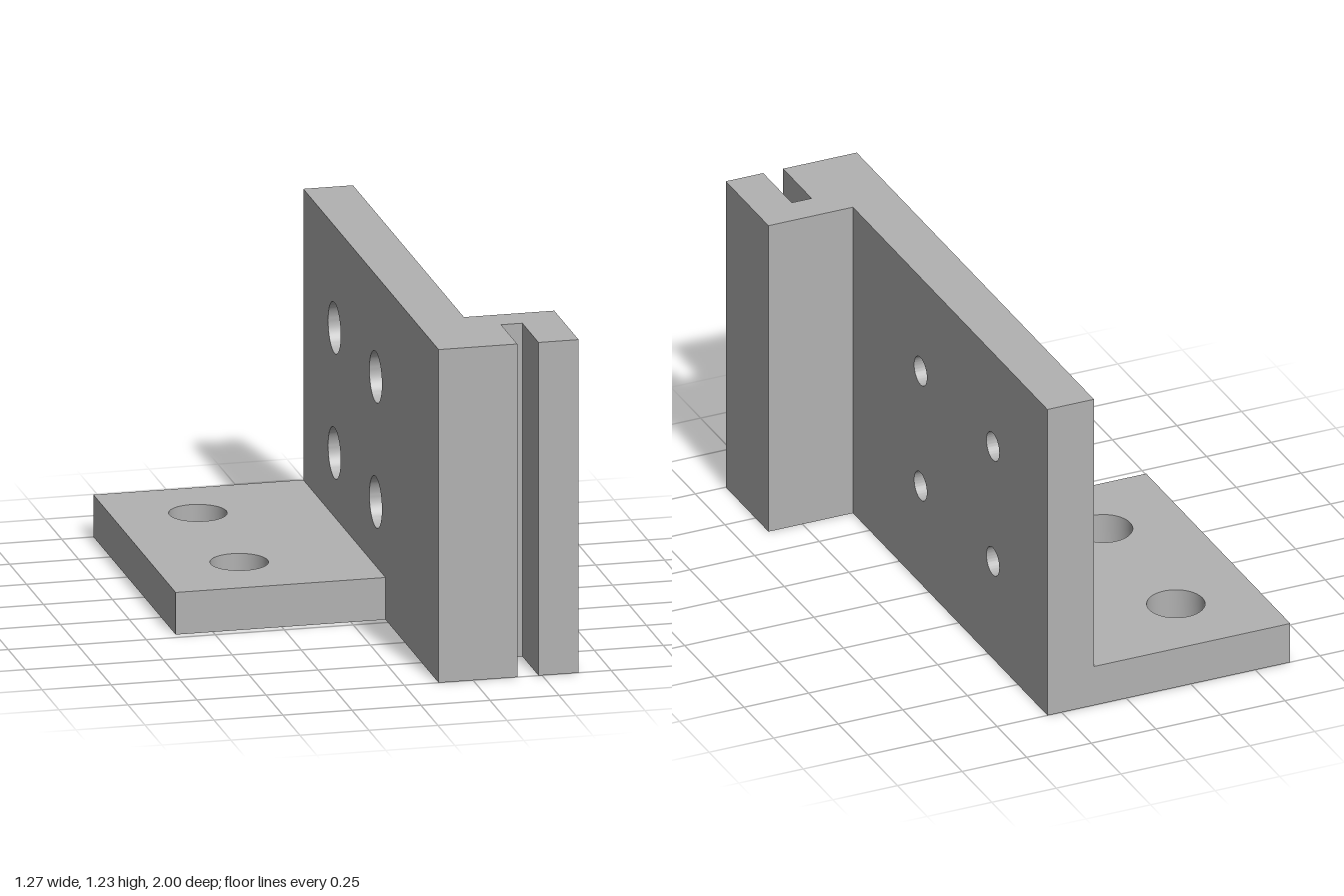
import * as THREE from 'three';
import { toCreasedNormals } from 'three/addons/utils/BufferGeometryUtils.js';

const HEIGHT = 1.225;
const grey = new THREE.MeshStandardMaterial({ color: 0xb2b2b2 });
grey.name = 'machined grey';

// Polygon outline with round holes [u, v, radius]
function outline(points, holes = []) {
  const shape = new THREE.Shape(points.map(([u, v]) => new THREE.Vector2(u, v)));
  for (const [u, v, r] of holes) {
    shape.holes.push(new THREE.Path().absarc(u, v, r, 0, Math.PI * 2, true));
  }
  return shape;
}

function extrude(shape, depth) {
  return new THREE.ExtrudeGeometry(shape, { depth, bevelEnabled: false, curveSegments: 32 });
}

function part(name, geometry) {
  const mesh = new THREE.Mesh(toCreasedNormals(geometry, 0.5), grey);
  mesh.name = name;
  return mesh;
}

// Plan shape (x, -z) raised along y
const raise = (shape, height) => extrude(shape, height).rotateX(-Math.PI / 2);

// Side shape (-z, y) thickened along +x from x0
const thicken = (shape, x0, depth) =>
  extrude(shape, depth).rotateY(Math.PI / 2).translate(x0, 0, 0);

export function createModel() {
  const model = new THREE.Group();
  model.name = 'mountingBracket';

  // Foot plate with two bolt holes
  const foot = outline(
    [[-0.635, -0.215], [0.125, -0.215], [0.125, 1], [-0.635, 1]],
    [[-0.33, 0.7, 0.103], [-0.33, 0.09, 0.103]]
  );
  model.add(part('footPlate', raise(foot, 0.155)));

  // Upright wall in two layers: counterbored inner side, narrow holes on the outer side
  const wallLayer = (radius) => {
    const holes = [];
    for (const u of [-0.07, 0.54]) for (const y of [0.39, 0.85]) holes.push([u, y, radius]);
    return outline([[-0.64, 0], [1, 0], [1, HEIGHT], [-0.64, HEIGHT]], holes);
  };
  model.add(part('wallCounterboreLayer', thicken(wallLayer(0.093), 0.125, 0.09)));
  model.add(part('wallOuterLayer', thicken(wallLayer(0.054), 0.215, 0.09)));

  // Front column with a full-height slot
  const column = outline([
    [0.125, -1], [0.41, -1], [0.41, -0.76], [0.487, -0.76],
    [0.487, -1], [0.632, -1], [0.632, -0.64], [0.125, -0.64],
  ]);
  model.add(part('slottedColumn', raise(column, HEIGHT)));

  return model;
}
